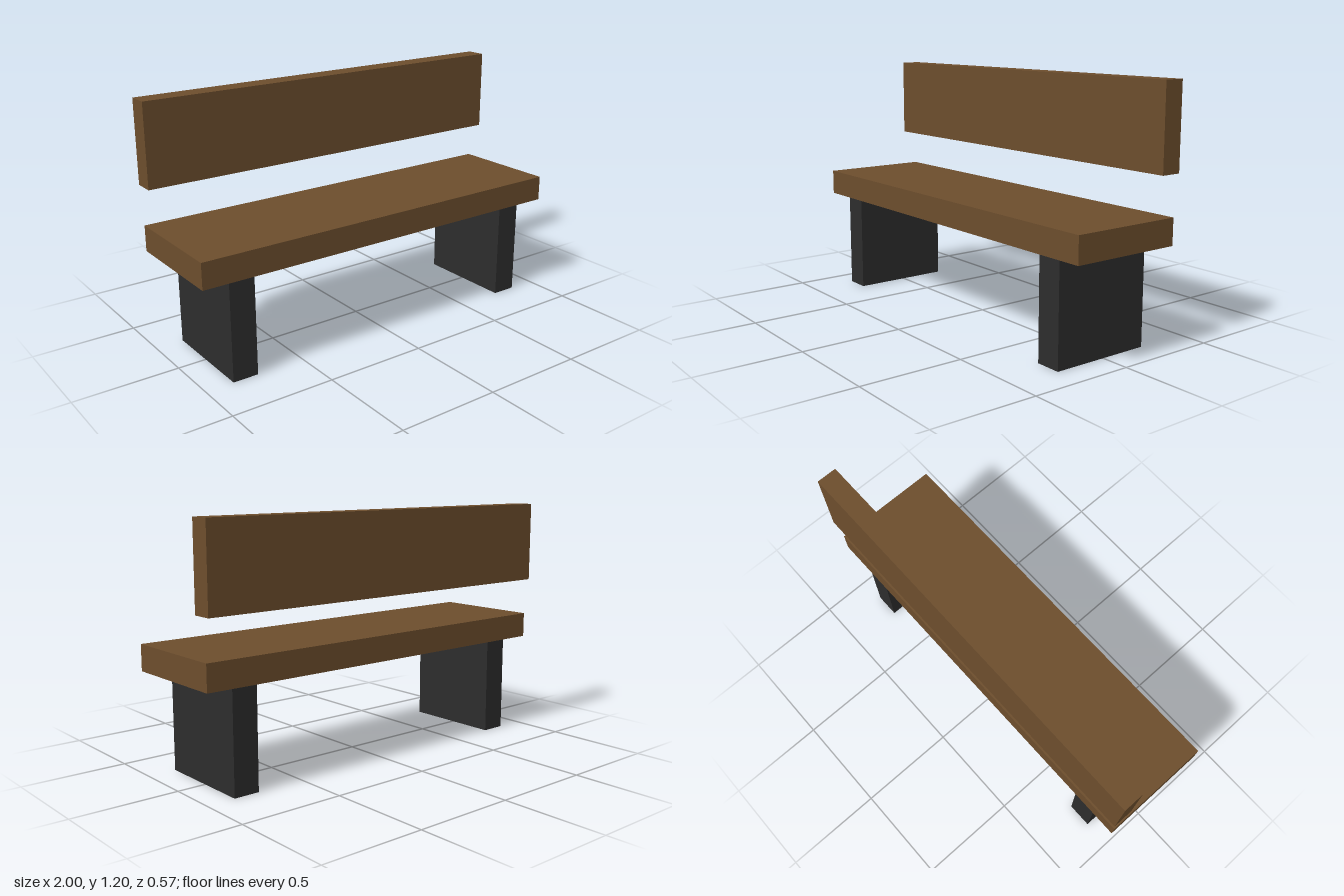
import * as THREE from 'three';

export function createModel() {
  const wood = new THREE.MeshStandardMaterial({ color: 0x6d4e2d });
  wood.name = 'brown wood';
  const metal = new THREE.MeshStandardMaterial({ color: 0x2d2d2d });
  metal.name = 'dark grey';

  const bench = new THREE.Group();
  bench.name = 'bench';

  // Box placed by its size and the centre of its base
  function addBox(name, material, [w, h, d], [x, y, z]) {
    const mesh = new THREE.Mesh(new THREE.BoxGeometry(w, h, d), material);
    mesh.name = name;
    mesh.position.set(x, y + h / 2, z);
    bench.add(mesh);
  }

  // Seat plank and floating backrest
  addBox('seat', wood, [2, 0.125, 0.55], [0, 0.4875, 0.0125]);
  addBox('backrest', wood, [2, 0.4, 0.1], [0, 0.8, -0.2375]);

  // Slab legs, mirrored
  for (const [name, side] of [['leftLeg', 1], ['rightLeg', -1]]) {
    addBox(name, metal, [0.125, 0.4875, 0.5], [side * 0.8, 0, 0.0125]);
  }

  return bench;
}
